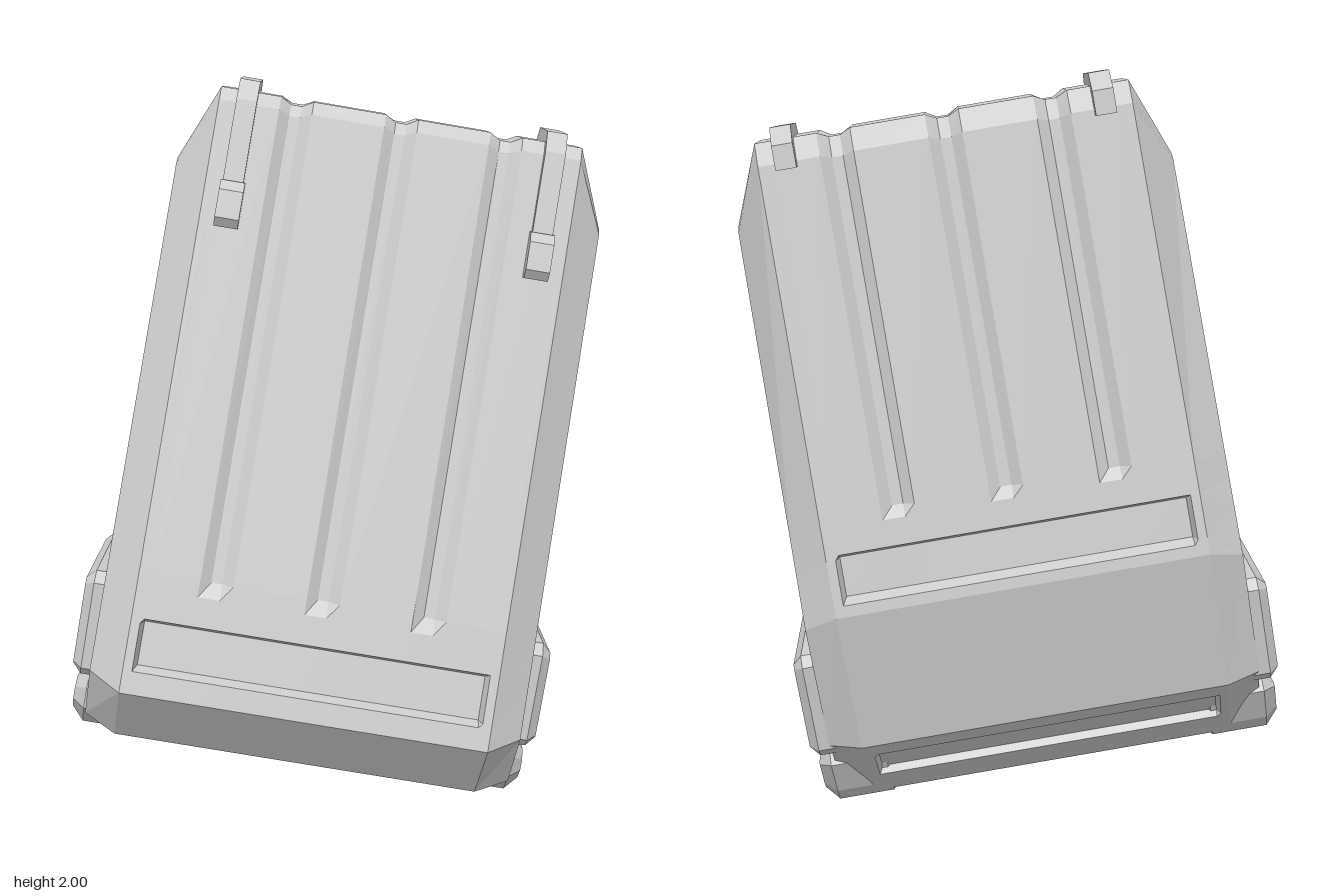
import * as THREE from 'three';

const mat = new THREE.MeshStandardMaterial({ color: 0xcccccc, flatShading: true });
const matDouble = new THREE.MeshStandardMaterial({ color: 0xcccccc, flatShading: true, side: THREE.DoubleSide });

// Bridge equal-length closed loops of points into one faceted skin.
function loft(loops) {
  const pos = [];
  for (let i = 0; i < loops.length - 1; i++) {
    const n = loops[i].length;
    for (let j = 0; j < n; j++) {
      const k = (j + 1) % n;
      const a = loops[i][j], b = loops[i][k], c = loops[i + 1][j], d = loops[i + 1][k];
      pos.push(...a, ...b, ...c, ...b, ...d, ...c);
    }
  }
  const geo = new THREE.BufferGeometry();
  geo.setAttribute('position', new THREE.Float32BufferAttribute(pos, 3));
  geo.computeVertexNormals();
  return geo;
}

// Side-on outline from [height, depth] pairs; s = 1 faces +x, s = -1 faces -x.
const outline = (pts, s) => new THREE.Shape(pts.map(([v, w]) => new THREE.Vector2(-s * w, v)));

function add(parent, name, geo, material = mat) {
  const mesh = new THREE.Mesh(geo, material);
  mesh.name = name;
  parent.add(mesh);
  return mesh;
}

// Outline extruded sideways from |x| = from to |x| = to, with a bevelled outer rim.
function slab(pts, s, from, to, bevel = 0) {
  const geo = new THREE.ExtrudeGeometry(outline(pts, s), {
    depth: to - from - bevel, bevelEnabled: bevel > 0, bevelThickness: bevel,
    bevelSize: bevel, bevelOffset: -bevel, bevelSegments: 1,
  });
  geo.translate(0, 0, from);
  geo.rotateY(s * Math.PI / 2);
  return geo;
}

// Side profile corners: outer [height, depth], then the smaller end outline.
const corners = [
  [0.89, 0.045, 0.70, 0.015],
  [-0.70, 0.38, -0.67, 0.31],
  [-0.85, 0.255, -0.815, 0.22],
  [-0.875, -0.25, -0.83, -0.22],
  [-0.69, -0.407, -0.68, -0.37],
  [-0.31, -0.448, -0.34, -0.40],
  [0.87, -0.20, 0.70, -0.135],
  [0.93, -0.17, 0.715, -0.11],
  [0.925, 0.02, 0.715, -0.01],
];
// Extra rows per profile segment: [t, groove, recess]
const extraRows = {
  0: [[0.80, 1, 0], [0.825, 0, 0], [0.874, 0, 0], [0.882, 0, 1], [0.955, 0, 1], [0.962, 0, 0]],
  3: [[0.35, 0, 0], [0.4, 0, 0.7], [0.75, 0, 0.7], [0.8, 0, 0]],
  5: [[0.025, 0, 0], [0.037, 0, 1], [0.125, 0, 1], [0.136, 0, 0], [0.195, 0, 0], [0.22, 1, 0]],
};
const grooved = new Set([0, 6, 7, 8]);

function bodyGeometry() {
  const rows = [];
  corners.forEach((c, i) => {
    const next = corners[(i + 1) % corners.length];
    const list = [[0, grooved.has(i) ? 1 : 0, 0], ...(extraRows[i] || [])];
    for (const [t, g, r] of list) rows.push({ p: c.map((x, k) => x + (next[k] - x) * t), g, r });
  });
  // Columns across the width: [x, inside groove, inside recess]
  const columns = [[-0.5, 0, 0], [-0.475, 0, 0], [-0.465, 0, 1]];
  for (const g of [-0.29, 0, 0.29])
    columns.push([g - 0.045, 0, 1], [g - 0.015, 1, 1], [g + 0.015, 1, 1], [g + 0.045, 0, 1]);
  columns.push([0.465, 0, 1], [0.475, 0, 0], [0.5, 0, 0]);

  const loops = columns.map(([x, cg, cr]) => rows.map(({ p, g, r }) => {
    const depth = 0.02 * cg * g + 0.035 * cr * r;
    const dv = THREE.MathUtils.clamp(p[0], -0.7, 0.8) - p[0], dw = -0.06 - p[1];
    const len = Math.hypot(dv, dw);
    return [x, p[0] + dv / len * depth, p[1] + dw / len * depth];
  }));
  const end = (x) => rows.map(({ p }) => [x, p[2], p[3]]);
  return loft([end(-0.59), ...loops, end(0.59)]);
}

export function createModel() {
  const root = new THREE.Group();
  root.name = 'wedgeCanister';
  const body = new THREE.Group();
  body.name = 'tiltedBody';
  root.add(body);

  // Wedge shell with grooves and recessed strips
  add(body, 'shell', bodyGeometry());

  const pocket = [[0.68, -0.01], [-0.44, 0.215], [-0.44, -0.365], [0.68, -0.115], [0.705, -0.09], [0.705, -0.03]];
  const pocketFloor = [[0.60, -0.025], [-0.43, 0.185], [-0.43, -0.335], [0.60, -0.10], [0.62, -0.08], [0.62, -0.045]];
  const sidePanel = [[-0.42, 0.20], [-0.45, 0.23], [-0.69, 0.23], [-0.71, 0.21], [-0.71, -0.35], [-0.69, -0.37], [-0.45, -0.38], [-0.42, -0.36]];
  const foot = [[-0.725, 0.08], [-0.77, 0.13], [-0.83, 0.13], [-0.88, 0.08], [-0.885, -0.24], [-0.85, -0.27], [-0.76, -0.31], [-0.725, -0.28]];

  for (const s of [1, -1]) {
    const side = new THREE.Group();
    side.name = s > 0 ? 'leftEnd' : 'rightEnd';
    body.add(side);

    // End frame around a sunken triangular pocket
    const frame = outline(corners.map((c) => [c[2], c[3]]), s);
    frame.holes.push(outline(pocket, s));
    const flat = (shape, x) => new THREE.ShapeGeometry(shape).translate(0, 0, x).rotateY(s * Math.PI / 2);
    add(side, 'endFrame', flat(frame, 0.59));
    add(side, 'pocketFloor', flat(outline(pocketFloor, s), 0.53));
    const ring = (pts, x) => pts.map(([v, w]) => [s * x, v, w]);
    add(side, 'pocketWall', loft([ring(pocket, 0.59), ring(pocketFloor, 0.53)]), matDouble);

    // Raised panel and lower foot
    add(side, 'sidePanel', slab(sidePanel, s, 0.54, 0.645, 0.025));
    add(side, 'foot', slab(foot, s, 0.45, 0.637, 0.035));

    // Hooked latch over the top edge, with a clasp at its front end
    const strap = [[0.56, 0.135], [0.90, 0.072], [0.955, 0.03], [0.965, -0.18], [0.92, -0.23], [0.855, -0.24], [0.855, -0.19], [0.89, -0.1], [0.85, 0.0], [0.56, 0.09]];
    const clasp = [[0.555, 0.09], [0.555, 0.145], [0.58, 0.162], [0.655, 0.146], [0.68, 0.12], [0.68, 0.07]];
    add(side, 'latchStrap', slab(strap, s, 0.397, 0.453));
    add(side, 'latchClasp', slab(clasp, s, 0.392, 0.458));
  }

  // Lean of the whole body
  const basis = new THREE.Matrix4().makeBasis(
    new THREE.Vector3(0.984, -0.167, -0.059),
    new THREE.Vector3(0.163, 0.984, -0.061),
    new THREE.Vector3(0.068, 0.05, 0.996));
  body.quaternion.setFromRotationMatrix(basis).normalize();
  body.position.set(0.034, 0.994, -0.002);
  return root;
}
